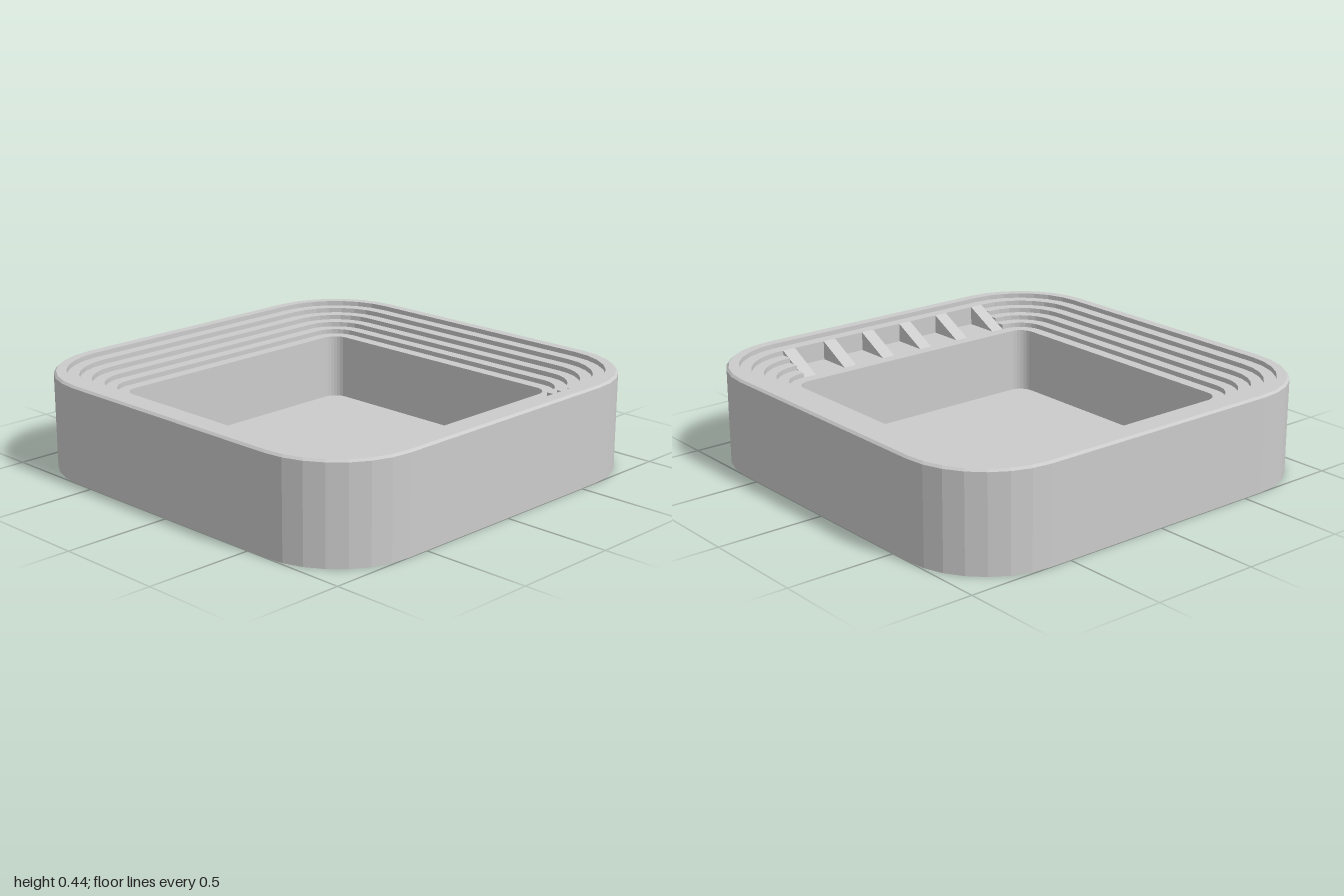
import * as THREE from 'three';

const CORNER = 0.6;      // centre of every corner arc
const SEGMENTS = 7;      // facets per corner
const TOP = 0.445, RISER = 0.022, TREAD = 0.055, FLOOR = 0.03;
const level = (i) => TOP - i * RISER;      // height of ledge i
const edge = (i) => 0.945 - i * TREAD;     // half width where ledge i ends

// Point on a rounded square of the given half width
function ringPoint(index, half, y) {
  const n = SEGMENTS + 1;
  const quarter = Math.floor(index / n) % 4;
  const angle = (quarter + (index % n) / SEGMENTS) * Math.PI / 2;
  const c = Math.min(CORNER, half), r = Math.max(0, half - CORNER);
  const sx = quarter === 0 || quarter === 3 ? 1 : -1;
  const sz = quarter < 2 ? 1 : -1;
  return [sx * c + r * Math.cos(angle), y, sz * c + r * Math.sin(angle)];
}

// Tray skin: a profile swept round the rounded square, with a pocket in the front side
function trayGeometry() {
  const outside = [[0, 0], [1, 0], [1, TOP - 0.01], [0.99, TOP]];
  const inside = [[edge(5), FLOOR], [0, FLOOR]];
  const steps = [];
  for (let i = 0; i < 5; i++) steps.push([edge(i), level(i)], [edge(i), level(i + 1)]);
  const stepped = [...outside, ...steps, [edge(5), level(5)], ...inside];
  const pocket = [...outside, [edge(0), level(0)], [edge(0), level(1)],
    [edge(1), level(1)], [edge(1), level(5)], [edge(5), level(5)], ...inside];

  const positions = [];
  const count = 4 * (SEGMENTS + 1);
  for (let j = 0; j < count; j++) {
    const profile = j === SEGMENTS ? pocket : stepped;
    for (let k = 0; k + 1 < profile.length; k++) {
      const a = ringPoint(j, ...profile[k]), b = ringPoint(j, ...profile[k + 1]);
      const d = ringPoint(j + 1, ...profile[k]), e = ringPoint(j + 1, ...profile[k + 1]);
      if (profile[k][0] > 0) positions.push(...a, ...b, ...d);
      if (profile[k + 1][0] > 0) positions.push(...b, ...e, ...d);
    }
  }
  const geometry = new THREE.BufferGeometry();
  geometry.setAttribute('position', new THREE.Float32BufferAttribute(positions, 3));
  geometry.computeVertexNormals();
  return geometry;
}

// Extrude a (z, y) outline along x, centred on the given x
function slab(outline, x, width) {
  const shape = new THREE.Shape(outline.map(([z, y]) => new THREE.Vector2(z, y)));
  const geometry = new THREE.ExtrudeGeometry(shape, { depth: width, bevelEnabled: false });
  return geometry.rotateY(-Math.PI / 2).translate(x + width / 2, 0, 0);
}

export function createModel() {
  const group = new THREE.Group();
  const material = new THREE.MeshStandardMaterial({ color: 0xcccccc, flatShading: true });
  const add = (name, geometry) => {
    const mesh = new THREE.Mesh(geometry, material);
    mesh.name = name;
    group.add(mesh);
  };

  add('tray', trayGeometry());

  // Sloping ribs dividing the front pocket
  const wedge = [[edge(4), level(5)], [edge(1), level(5)], [edge(1), level(1)]];
  for (const side of [-1, 1]) {
    for (const x of [0.11, 0.33, 0.555]) add('rib', slab(wedge, side * x, 0.065));
  }

  // Stepped ends closing the pocket against the ledges
  const stairs = [[edge(4), level(5)], [edge(1), level(5)], [edge(1), level(2)]];
  for (let i = 2; i < 5; i++) {
    stairs.push([edge(i), level(i)]);
    if (i < 4) stairs.push([edge(i), level(i + 1)]);
  }
  for (const side of [-1, 1]) add('pocketEnd', slab(stairs, side * 0.594, 0.012));

  return group;
}
